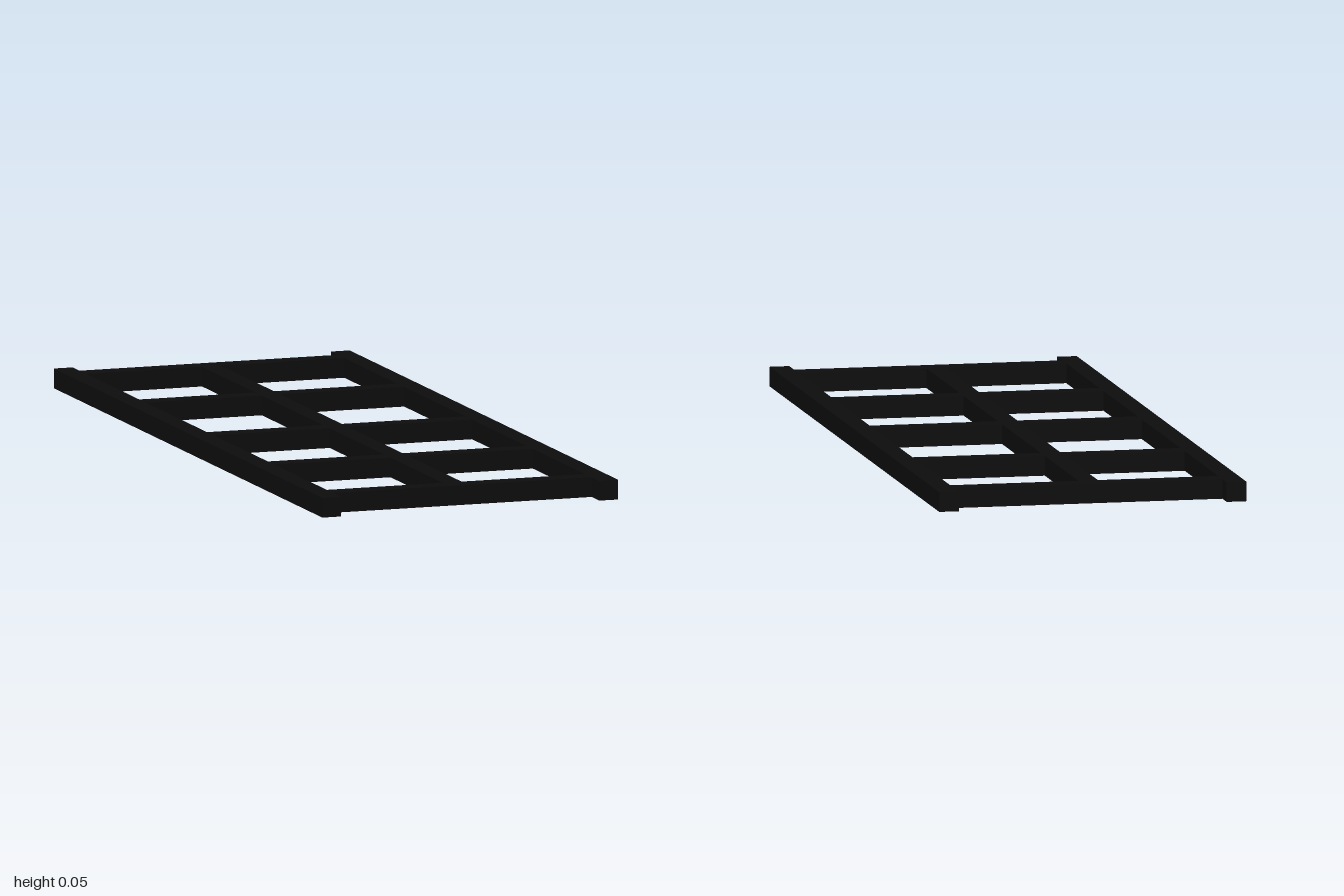
import * as THREE from 'three';

const T = 0.05; // bar thickness

export function createModel() {
  const group = new THREE.Group();
  const material = new THREE.MeshStandardMaterial({ color: 0x0d0d0d });

  const addBar = (name, width, length, x, z) => {
    const bar = new THREE.Mesh(new THREE.BoxGeometry(width, T, length), material);
    bar.name = name;
    bar.position.set(x, T / 2, z);
    group.add(bar);
  };

  // Long side rails
  addBar('leftRail', T, 2, 0.368, 0);
  addBar('rightRail', T, 2, -0.368, 0);

  // Crossbars between the inner faces of the rails
  const crossZ = [-0.924, -0.479, 0.026, 0.479, 0.918];
  crossZ.forEach((z, i) => addBar(`crossbar${i + 1}`, 0.686, T, 0, z));

  // Centre spine, in segments between neighbouring crossbars
  for (let i = 0; i < crossZ.length - 1; i++) {
    const length = crossZ[i + 1] - crossZ[i] - T;
    addBar(`spineSegment${i + 1}`, T, length, -0.01, (crossZ[i] + crossZ[i + 1]) / 2);
  }

  return group;
}
